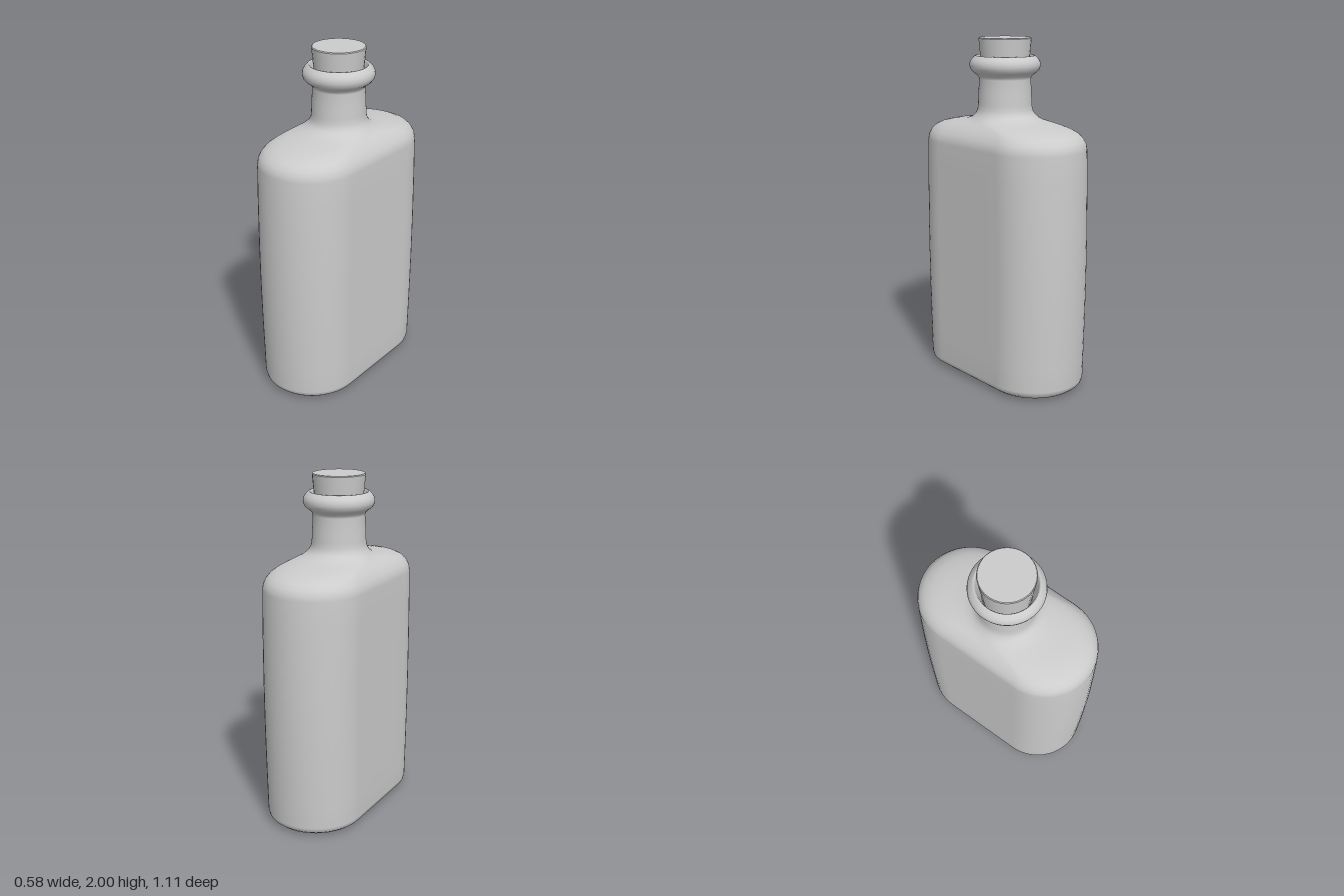
import * as THREE from 'three';

const SIDES = 64;

// One outline point: a stadium (half-width hx, half-depth hz) blended by w towards a circle-like ellipse
function outline(i, hx, hz, w) {
  const t = (i / SIDES) * Math.PI * 2;
  const c = Math.cos(t), s = Math.sin(t);
  const a = Math.atan2(Math.abs(s), Math.abs(c));
  const a0 = Math.PI / 16;
  let x = hx, z = hz - hx;
  if (a < a0) z *= a / a0;
  else {
    const b = ((a - a0) / (Math.PI / 2 - a0)) * (Math.PI / 2);
    x = hx * Math.cos(b);
    z += hx * Math.sin(b);
  }
  x = THREE.MathUtils.lerp(x, hx * Math.cos(a), w);
  z = THREE.MathUtils.lerp(z, hz * Math.sin(a), w);
  return [x * Math.sign(c), z * Math.sign(s)];
}

// Skin through rows of [y, hx, hz, w]
function loft(rows) {
  const pos = [], idx = [];
  rows.forEach(([y, hx, hz, w], r) => {
    for (let i = 0; i < SIDES; i++) {
      const [x, z] = outline(i, hx, hz, w);
      pos.push(x, y, z);
      if (r === rows.length - 1) continue;
      const j = (i + 1) % SIDES;
      const a = r * SIDES + i, b = r * SIDES + j;
      idx.push(a, a + SIDES, b, b, a + SIDES, b + SIDES);
    }
  });
  const g = new THREE.BufferGeometry();
  g.setAttribute('position', new THREE.Float32BufferAttribute(pos, 3));
  g.setIndex(idx);
  g.computeVertexNormals();
  return g;
}

export function createModel() {
  const group = new THREE.Group();
  const mat = new THREE.MeshStandardMaterial({ color: 0xcccccc, side: THREE.DoubleSide });

  // Flat base, slightly bulging walls and rounded shoulders
  const body = [
    [0, 0, 0.25, 0], [0, 0.2, 0.46, 0], [0.003, 0.235, 0.495, 0], [0.012, 0.262, 0.52, 0],
    [0.03, 0.285, 0.54, 0], [0.055, 0.291, 0.546, 0],
  ];
  for (let k = 1; k < 10; k++) {
    const u = k / 10;
    body.push([0.055 + 1.345 * u, 0.292, 0.545 + 0.012 * Math.sin(Math.PI * u), 0]);
  }
  body.push(
    [1.40, 0.292, 0.543, 0], [1.43, 0.287, 0.537, 0], [1.455, 0.276, 0.522, 0],
    [1.48, 0.259, 0.495, 0], [1.5, 0.24, 0.448, 0.05], [1.513, 0.226, 0.39, 0.15],
    [1.524, 0.213, 0.33, 0.3], [1.535, 0.202, 0.25, 0.6], [1.55, 0.188, 0.2, 0.9],
    [1.565, 0.175, 0.177, 1],
  );

  // Neck, bulging lip and the open mouth, as [y, radius]
  const neck = [
    [1.58, 0.165], [1.6, 0.157], [1.63, 0.154], [1.7, 0.151], [1.77, 0.147], [1.785, 0.152],
    [1.797, 0.166], [1.81, 0.184], [1.825, 0.196], [1.845, 0.202], [1.865, 0.199],
    [1.88, 0.19], [1.894, 0.177], [1.9, 0.17], [1.9, 0.164], [1.893, 0.16],
    [1.87, 0.153], [1.84, 0.145], [1.79, 0.132],
  ].map(([y, r]) => [y, r, r, 1]);

  const bottle = new THREE.Mesh(loft([...body, ...neck]), mat);
  bottle.name = 'bottle';
  group.add(bottle);

  // Tapered stopper with a tiny bevel, built from straight sections to keep its edges crisp
  const stopper = new THREE.Group();
  stopper.name = 'stopper';
  const section = (name, top, bottom, y0, y1, open) => {
    const g = new THREE.CylinderGeometry(top, bottom, y1 - y0, 32, 1, open);
    const m = new THREE.Mesh(g, mat);
    m.name = name;
    m.position.y = (y0 + y1) / 2;
    stopper.add(m);
  };
  section('stopperSide', 0.15, 0.13, 1.78, 1.995, true);
  section('stopperTop', 0.146, 0.15, 1.995, 2, false);
  group.add(stopper);

  return group;
}
